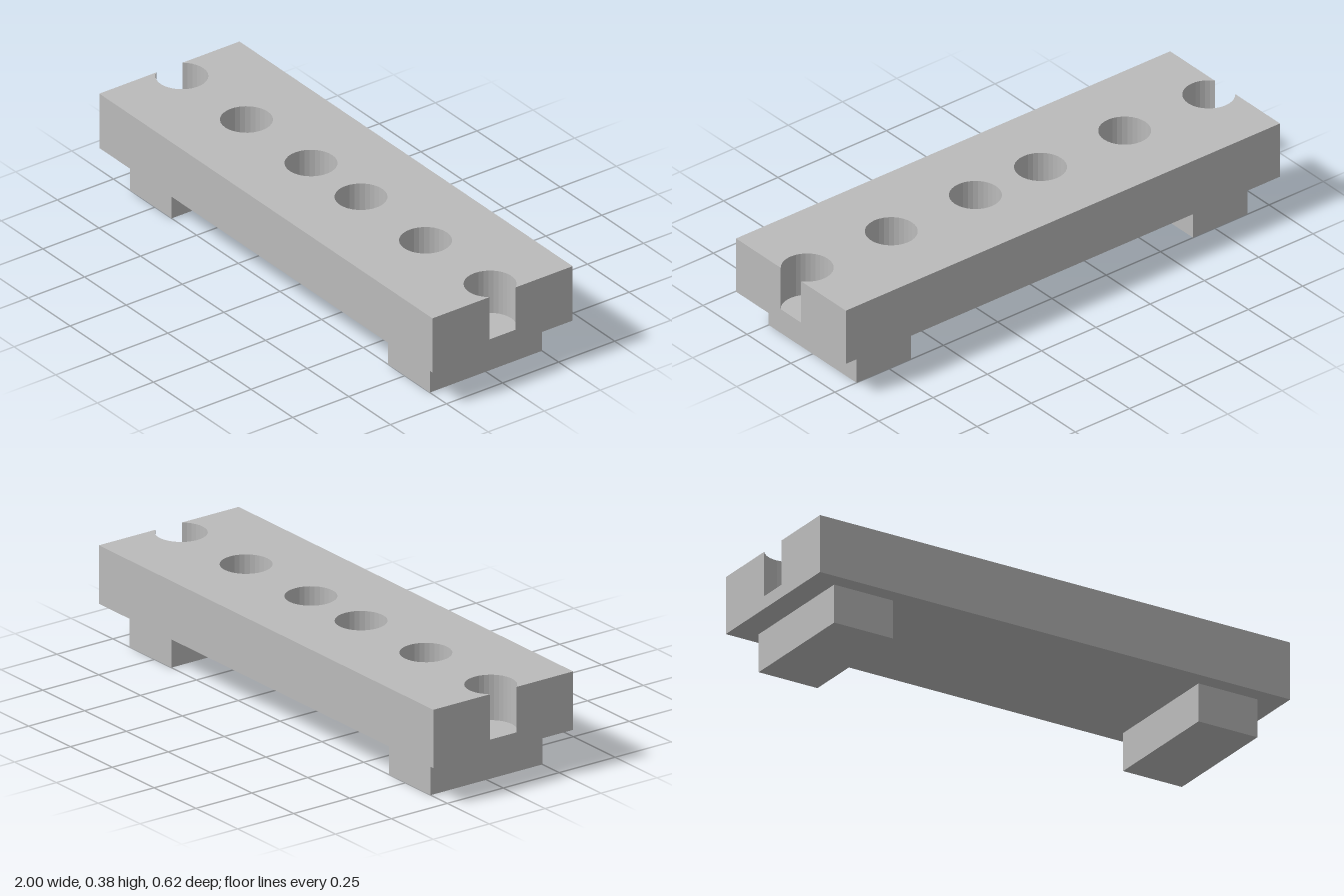
import * as THREE from 'three';

const HALF_X = 1, HALF_Z = 0.3125;
const BOTTOM = 0.15, FLOOR = 0.2, TOP = 0.375;
const RADIUS = 0.095, END_X = 0.925;

// Points on a bore circle between two angles
function arc(cx, from, to, steps) {
  return Array.from({ length: steps + 1 }, (_, i) => {
    const a = from + ((to - from) * i) / steps;
    return new THREE.Vector2(cx + RADIUS * Math.cos(a), RADIUS * Math.sin(a));
  });
}

export function createModel() {
  const model = new THREE.Group();
  model.name = 'drilledBar';
  const grey = new THREE.MeshStandardMaterial({ color: 0xbbbbbb });
  grey.name = 'grey';

  function add(name, geometry, x, y, z) {
    const mesh = new THREE.Mesh(geometry, grey);
    mesh.name = name;
    mesh.position.set(x, y, z);
    model.add(mesh);
  }

  // Bar outline: each end is cut open by a bore that breaks through the edge
  const open = Math.acos((HALF_X - END_X) / RADIUS);
  const notch = arc(END_X, -open, open - 2 * Math.PI, 26);
  const half = [new THREE.Vector2(HALF_X, -HALF_Z), ...notch, new THREE.Vector2(HALF_X, HALF_Z)];
  const outline = [...half, ...half.map((p) => p.clone().negate())];
  const shape = new THREE.Shape(outline);

  // Four full bores along the centre line
  for (const x of [-0.5375, -0.15, 0.15, 0.5375]) {
    shape.holes.push(new THREE.Path(arc(x, 0, -2 * Math.PI, 32).slice(0, -1)));
  }
  const upper = new THREE.ExtrudeGeometry(shape, { depth: TOP - FLOOR, bevelEnabled: false });
  upper.rotateX(-Math.PI / 2);
  add('drilledBarBody', upper, 0, FLOOR, 0);

  // Solid base closing the bores
  const base = new THREE.BoxGeometry(2 * HALF_X, FLOOR - BOTTOM, 2 * HALF_Z);
  add('barBase', base, 0, (FLOOR + BOTTOM) / 2, 0);

  // Two feet
  const foot = new THREE.BoxGeometry(0.25, BOTTOM, 0.5);
  add('leftFoot', foot, 0.775, BOTTOM / 2, 0);
  add('rightFoot', foot, -0.775, BOTTOM / 2, 0);

  return model;
}
